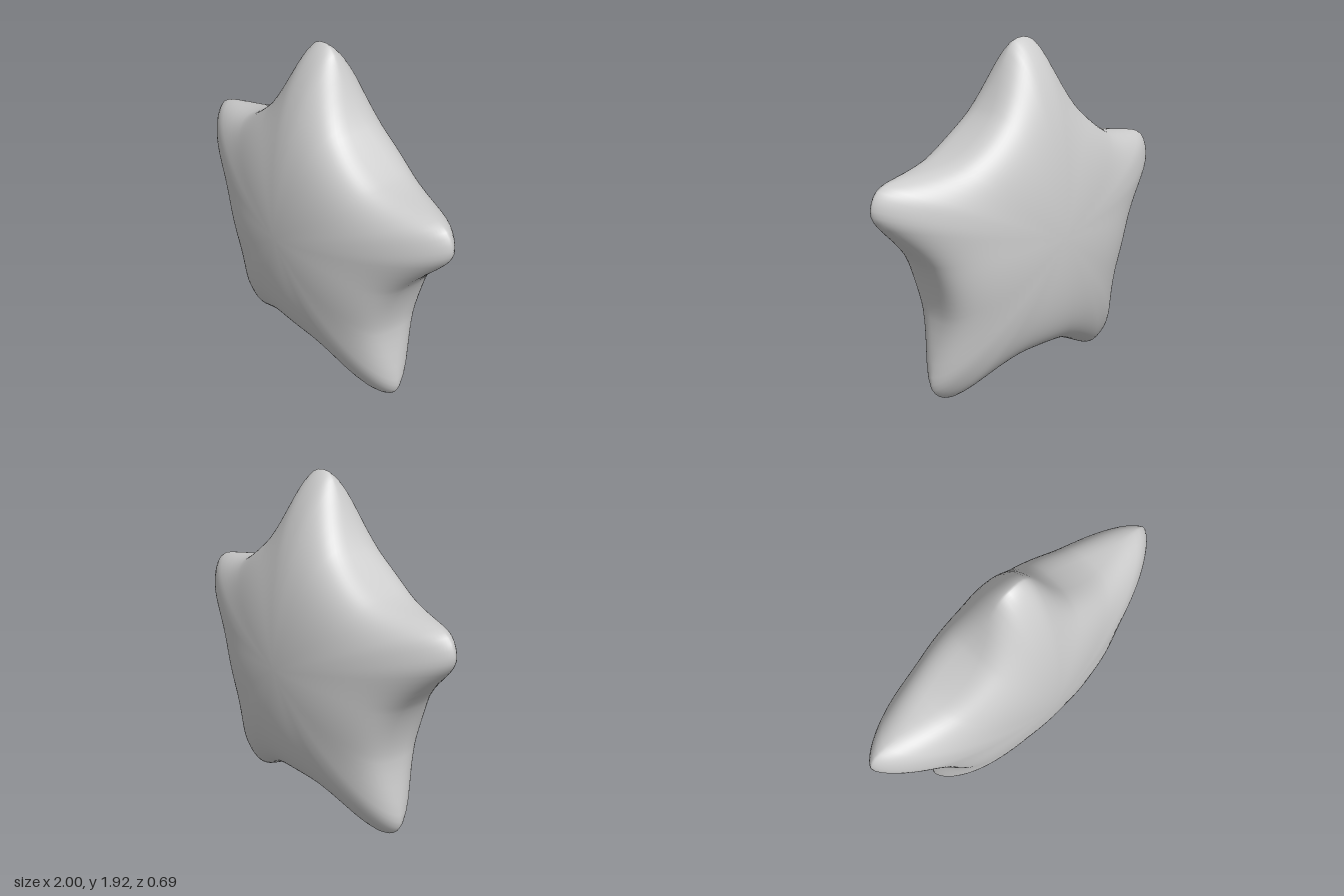
import * as THREE from 'three';
import { mergeVertices } from 'three/addons/utils/BufferGeometryUtils.js';

const ARMS = 5, CENTRE_Y = 0.874, DEPTH = 0.343;
const TIP = 1.046, NOTCH = 0.692;

// Half an arm, from its tip to the notch: [degrees off the arm axis, radius]
const HALF_ARM = [[0, TIP], [3.6, 1.032], [6.8, 0.977], [13, 0.845], [21, 0.741], [28, 0.704], [36, NOTCH]];

// Closed outline of the star, mirrored within each arm and repeated around the centre
function starOutline() {
  const arm = [...HALF_ARM, ...HALF_ARM.slice(1, -1).reverse().map(([a, r]) => [72 - a, r])];
  const points = [];
  for (let i = 0; i < ARMS; i++) {
    for (const [a, r] of arm) {
      const angle = THREE.MathUtils.degToRad(90 + i * 72 + a);
      points.push(new THREE.Vector3(r * Math.cos(angle), r * Math.sin(angle), 0));
    }
  }
  return new THREE.CatmullRomCurve3(points, true, 'centripetal');
}

// Sphere pushed out to the star outline: lens-like at the tips, steep-walled in the notches
function puffyStar() {
  const outline = starOutline();
  const geometry = new THREE.SphereGeometry(1, 120, 56).rotateX(Math.PI / 2);
  geometry.deleteAttribute('uv');
  geometry.deleteAttribute('normal');
  const pos = geometry.attributes.position;
  const v = new THREE.Vector3();
  for (let i = 0; i < pos.count; i++) {
    v.fromBufferAttribute(pos, i);
    const turn = (Math.atan2(v.y, v.x) - Math.PI / 2) / (2 * Math.PI);
    const edge = outline.getPoint(((turn % 1) + 1) % 1);
    const t = Math.hypot(v.x, v.y);
    const k = THREE.MathUtils.clamp((edge.length() - NOTCH) / (TIP - NOTCH), 0, 1);
    const power = THREE.MathUtils.lerp(0.56, 1.4, k);
    const z = Math.sign(v.z) * DEPTH * Math.pow(Math.abs(v.z), power);
    pos.setXYZ(i, edge.x * t, edge.y * t, z);
  }
  const merged = mergeVertices(geometry, 1e-5);
  merged.computeVertexNormals();
  return merged;
}

export function createModel() {
  const group = new THREE.Group();
  group.name = 'star';
  const body = new THREE.Mesh(puffyStar(), new THREE.MeshStandardMaterial({ color: 0xcccccc }));
  body.name = 'starBody';
  body.position.y = CENTRE_Y;
  group.add(body);
  return group;
}
